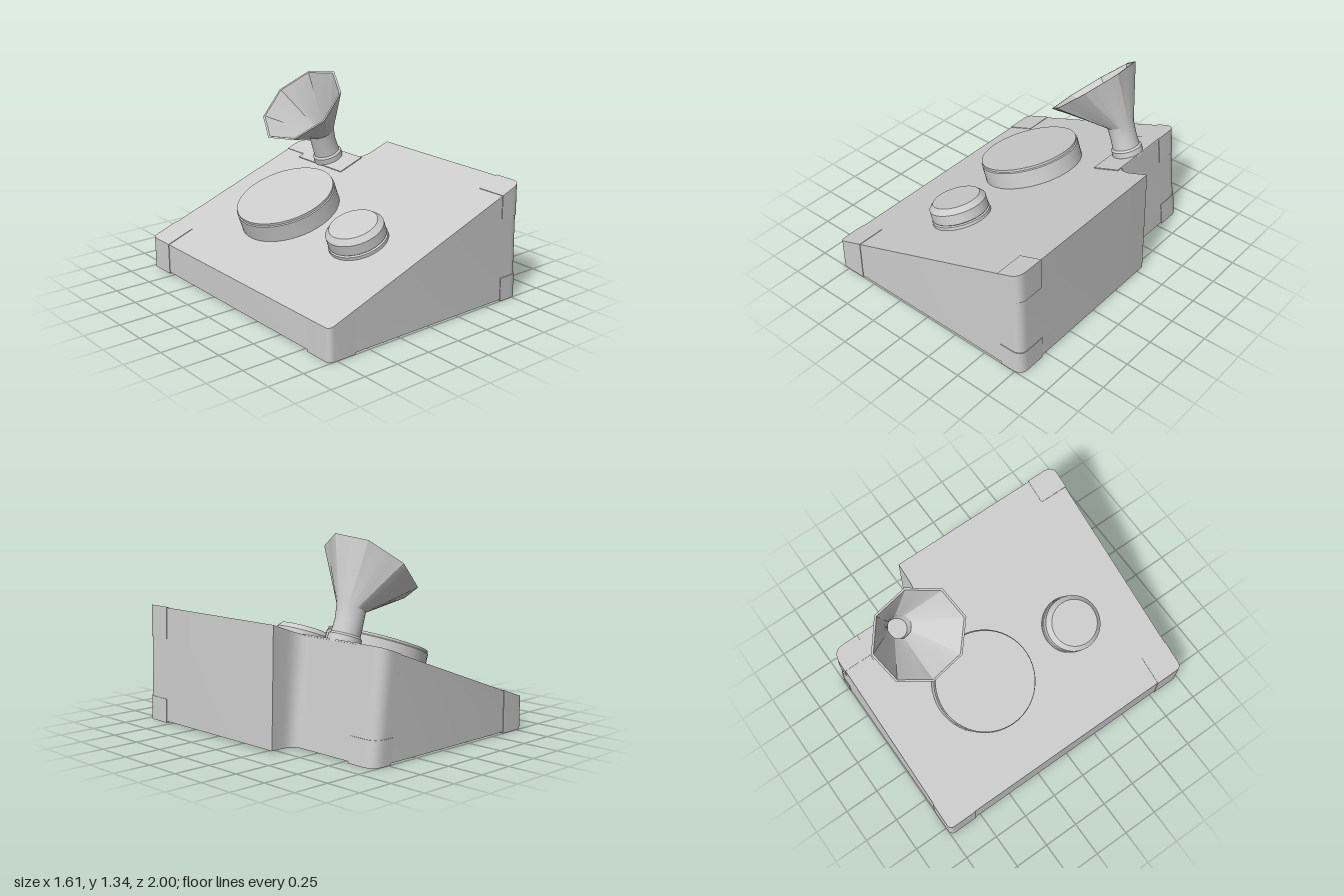
import * as THREE from 'three';
import { mergeVertices, toCreasedNormals } from 'three/addons/utils/BufferGeometryUtils.js';

const SLOPE = 0.365;
const TILT = Math.atan(SLOPE);
const deckY = (x) => 0.215 + SLOPE * (x + 0.81);

// how far the right-hand walls lean inwards at deck level
function lean(x, z) {
  if (x < 0.4) return 0;
  if (z > -0.299) return 0.02;
  return THREE.MathUtils.clamp(THREE.MathUtils.mapLinear(x, 0.63, 0.8, 0.085, 0.02), 0.02, 0.085);
}

// upright prism cut off by the sloping deck; plan is drawn in x, -z
function deckPrism(plan, y0, y1 = Infinity, lift = 0) {
  let geo = new THREE.ExtrudeGeometry(plan, { depth: 1, bevelEnabled: false, curveSegments: 8 });
  geo.rotateX(-Math.PI / 2);
  const p = geo.attributes.position;
  for (let i = 0; i < p.count; i++) {
    const x = p.getX(i), z = p.getZ(i), s = lean(x, z);
    const top = deckY(x - s) + lift;
    const y = p.getY(i) > 0.5 ? Math.min(y1, top) : y0;
    p.setXYZ(i, x - s * (y / top), y, z);
  }
  return toCreasedNormals(geo, 0.6);
}

// plan of the wedge with the notch in its back left corner
function bodyPlan() {
  const s = new THREE.Shape();
  const l = -0.806, f = -0.996, b = 0.996, r = 0.8, n = 0.626;
  s.moveTo(l + 0.04, f);
  s.lineTo(r - 0.07, f);
  s.quadraticCurveTo(r, f, r, f + 0.07);
  s.lineTo(r, 0.3);
  s.lineTo(n + 0.09, 0.3);
  s.quadraticCurveTo(n, 0.3, n, 0.39);
  s.lineTo(n, b - 0.09);
  s.quadraticCurveTo(n, b, n - 0.09, b);
  s.lineTo(l + 0.04, b);
  s.quadraticCurveTo(l, b, l, b - 0.04);
  s.lineTo(l, f + 0.04);
  s.quadraticCurveTo(l, f, l + 0.04, f);
  return s;
}

// rectangle with one rounded outer corner at (x, y), reaching inwards to (xi, yi)
function cornerPlan(x, y, xi, yi, r) {
  const s = new THREE.Shape();
  const dx = Math.sign(xi - x) * r, dy = Math.sign(yi - y) * r;
  s.moveTo(xi, yi);
  s.lineTo(xi, y);
  s.lineTo(x + dx, y);
  s.quadraticCurveTo(x, y, x, y + dy);
  s.lineTo(x, yi);
  s.closePath();
  return s;
}

// closed skin through rings { x, y, z, tilt, r, oct }; oct blends circle to octagon
function loftRings(rings, n = 32, phase = 0) {
  const pos = [], idx = [];
  for (const { x, y, z, tilt, r, oct } of rings) {
    for (let i = 0; i < n; i++) {
      const a = (i / n) * Math.PI * 2;
      const local = (a % (Math.PI / 4)) - Math.PI / 8;
      const rr = r * THREE.MathUtils.lerp(1, Math.cos(Math.PI / 8) / Math.cos(local), oct);
      const u = rr * Math.sin(a + phase);
      pos.push(x + u * Math.cos(tilt), y + u * Math.sin(tilt), z + rr * Math.cos(a + phase));
    }
  }
  for (let j = 0; j < rings.length - 1; j++) {
    for (let i = 0; i < n; i++) {
      const a = j * n + i, b = j * n + ((i + 1) % n);
      idx.push(a, b, b + n, a, b + n, a + n);
    }
  }
  const geo = new THREE.BufferGeometry();
  geo.setAttribute('position', new THREE.Float32BufferAttribute(pos, 3));
  geo.setIndex(idx);
  return toCreasedNormals(mergeVertices(geo), 0.35);
}

export function createModel() {
  const group = new THREE.Group();
  const grey = new THREE.MeshStandardMaterial({ color: 0xcccccc });
  grey.name = 'light grey';
  const add = (name, geo) => {
    const mesh = new THREE.Mesh(geo, grey);
    mesh.name = name;
    group.add(mesh);
    return mesh;
  };

  // wedge housing
  add('housing', deckPrism(bodyPlan(), 0.01));

  // corner guards: full height on the low side, top and bottom caps on the high side
  for (const side of [-1, 1]) {
    const end = side < 0 ? 'front' : 'back';
    add(end + 'LowGuard', deckPrism(cornerPlan(-0.81, side, -0.61, side * 0.79, 0.04), 0, Infinity, 0.004));
    const plan = side < 0
      ? cornerPlan(0.804, -1, 0.64, -0.79, 0.07)
      : cornerPlan(0.63, 1, 0.48, 0.79, 0.09);
    add(end + 'UpperGuard', deckPrism(plan, side < 0 ? 0.58 : 0.52, Infinity, 0.004));
    add(end + 'LowerGuard', deckPrism(plan, 0, 0.165));
  }

  // round knobs standing square to the deck
  const knob = (name, x, z, profile) => {
    const pts = profile.map(([r, y]) => new THREE.Vector2(r, y));
    const mesh = add(name, toCreasedNormals(new THREE.LatheGeometry(pts, 48), 0.4));
    mesh.position.set(x, deckY(x), z);
    mesh.rotation.z = TILT;
  };
  knob('largeDrum', -0.14, -0.26,
    [[0.35, -0.01], [0.35, 0.118], [0.343, 0.124], [0.343, 0.14], [0, 0.14]]);
  knob('smallKnob', -0.15, 0.48,
    [[0.2, -0.01], [0.2, 0.022], [0.188, 0.028], [0.195, 0.034], [0.195, 0.105], [0.162, 0.14], [0, 0.14]]);

  // thin plate under the horn
  const plate = add('hornPlate', new THREE.BoxGeometry(0.207, 0.009, 0.49));
  plate.position.set(0.447, deckY(0.447) + 0.002, -0.555);
  plate.rotation.z = TILT;

  // horn: collar, neck, octagonal bell, rim and hollow throat
  const base = { x: 0.447, y: deckY(0.447) - 0.01, z: -0.565 };
  const neck = (h, r) => ({
    x: base.x - h * Math.sin(TILT), y: base.y + h * Math.cos(TILT), z: base.z, tilt: TILT, r, oct: 0,
  });
  const mouthTilt = 0.728;
  const bell = (t, r, oct) => ({
    x: THREE.MathUtils.lerp(0.372, 0.16, t), y: THREE.MathUtils.lerp(0.885, 1.125, t),
    z: THREE.MathUtils.lerp(-0.56, -0.52, t),
    tilt: THREE.MathUtils.lerp(0.42, mouthTilt, t), r, oct,
  });
  add('horn', loftRings([
    neck(0, 0.106), neck(0.055, 0.106), neck(0.068, 0.093), neck(0.15, 0.09),
    bell(0, 0.094, 0), bell(1, 0.332, 1), bell(1, 0.316, 1), bell(0.04, 0.08, 0.5),
    neck(0.12, 0.07), neck(0.12, 0),
  ], 32, -0.21));

  return group;
}
